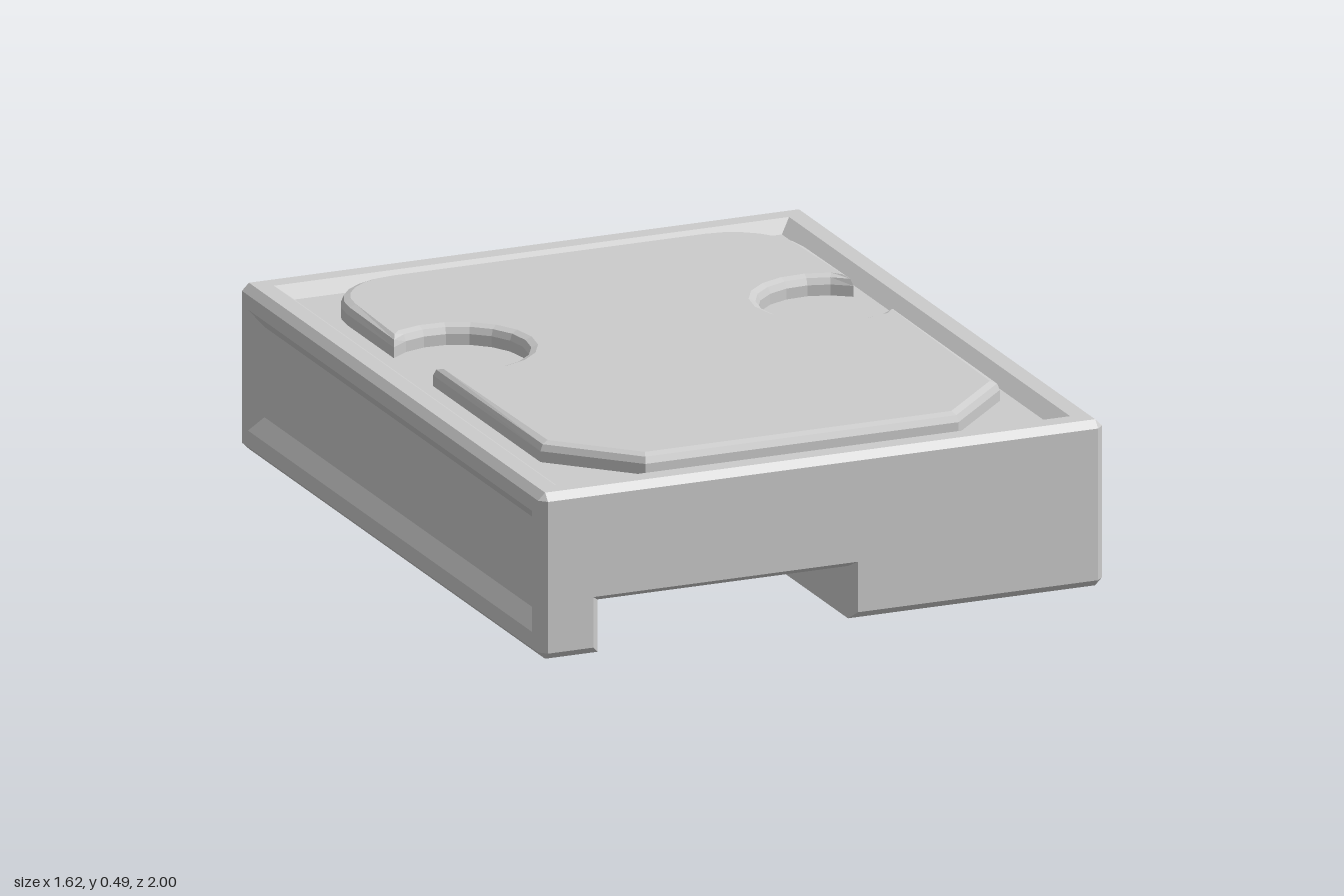
import * as THREE from 'three';

const material = new THREE.MeshStandardMaterial({ color: 0xcccccc, flatShading: true });

// Joins rings of points (counter-clockwise seen from outside, going inward or up).
// closed: join last point to first; cap: fill the last ring; skip: edges left open.
function loft(rings, { closed = true, cap = false, skip = [] } = {}) {
  const pos = [];
  const tri = (...pts) => pts.forEach((p) => pos.push(...p));
  const n = rings[0].length;
  for (let i = 0; i < rings.length - 1; i++) {
    for (let j = 0; j < (closed ? n : n - 1); j++) {
      if (skip.includes(j)) continue;
      const k = (j + 1) % n;
      const a = rings[i][j], b = rings[i][k], c = rings[i + 1][k], d = rings[i + 1][j];
      tri(a, b, c);
      tri(a, c, d);
    }
  }
  const last = rings[rings.length - 1];
  if (cap) for (let j = 1; j < n - 1; j++) tri(last[0], last[j], last[j + 1]);
  const geo = new THREE.BufferGeometry();
  geo.setAttribute('position', new THREE.Float32BufferAttribute(pos, 3));
  geo.computeVertexNormals();
  return geo;
}

// Horizontal rectangle with cut corners; the last edge (7) is the front one.
const ring = (y, hx, hz, c = 0) => [
  [hx - c, y, hz], [hx, y, hz - c], [hx, y, -hz + c], [hx - c, y, -hz],
  [-hx + c, y, -hz], [-hx, y, -hz + c], [-hx, y, hz - c], [-hx + c, y, hz],
];

// Rectangle on the +x side
const sideRing = (x, y0, y1, hz) => [[x, y0, hz], [x, y0, -hz], [x, y1, -hz], [x, y1, hz]];

const shapeOf = (pts) => new THREE.Shape(pts.map(([x, y]) => new THREE.Vector2(x, y)));

function arc(cx, cy, r, from, to, steps) {
  return Array.from({ length: steps + 1 }, (_, i) => {
    const a = THREE.MathUtils.degToRad(from + ((to - from) * i) / steps);
    return [cx + r * Math.cos(a), cy + r * Math.sin(a)];
  });
}

export function createModel() {
  const model = new THREE.Group();
  const add = (name, geo, parent = model) => {
    const mesh = new THREE.Mesh(geo, material);
    mesh.name = name;
    parent.add(mesh);
    return mesh;
  };

  const body = new THREE.Group();
  body.name = 'case';
  model.add(body);

  // Back wall, corner chamfers and lower edge chamfer
  const low = ring(0.02, 0.81, 1, 0.02), high = ring(0.44, 0.81, 1, 0.02);
  add('caseWalls', loft([low, high], { skip: [1, 5, 7] }), body);
  add('lowerChamfer', loft([ring(0, 0.79, 0.98), low], { closed: false }), body);

  // Top with chamfered rim and shallow tray
  add('caseTop', loft([
    high, ring(0.46, 0.79, 0.98), ring(0.46, 0.74, 0.93), ring(0.43, 0.7, 0.885),
  ], { cap: true }), body);

  // Recessed panel on each long side
  for (const turn of [0, Math.PI]) {
    const panel = add(turn ? 'rightSidePanel' : 'leftSidePanel', loft([
      sideRing(0.81, 0.02, 0.44, 0.98), sideRing(0.81, 0.065, 0.4, 0.94),
      sideRing(0.78, 0.11, 0.36, 0.9),
    ], { cap: true }), body);
    panel.rotation.y = turn;
  }

  // Front wall and underside, both cut out for the connector bay
  const front = new THREE.ShapeGeometry(shapeOf([
    [-0.79, 0.02], [-0.66, 0.02], [-0.66, 0.16], [0.1, 0.16],
    [0.1, 0.02], [0.79, 0.02], [0.79, 0.44], [-0.79, 0.44],
  ]));
  add('frontWall', front.translate(0, 0, 1), body);
  const under = new THREE.ShapeGeometry(shapeOf([
    [-0.79, -0.98], [0.79, -0.98], [0.79, 0.98], [0.08, 0.98],
    [0.08, 0.55], [-0.64, 0.55], [-0.64, 0.98], [-0.79, 0.98],
  ]));
  add('underside', under.rotateX(Math.PI / 2), body);

  // Front lower chamfer either side of the bay
  for (const [l0, r0, l1, r1] of [[-0.79, -0.64, -0.79, -0.66], [0.08, 0.79, 0.1, 0.79]]) {
    add('frontChamfer', loft([
      [[l0, 0, 0.98], [r0, 0, 0.98]], [[l1, 0.02, 1], [r1, 0.02, 1]],
    ], { closed: false }), body);
  }

  // Connector bay: bevelled mouth, walls and ceiling, then back wall
  const bayRing = (x0, x1, pts) => [
    ...pts.map(([y, z]) => [x1, y, z]),
    ...[...pts].reverse().map(([y, z]) => [x0, y, z]),
  ];
  const backEdge = [[0, 0.55], [0.045, 0.58], [0.145, 0.58]];
  const bay = bayRing(-0.64, 0.08, backEdge);
  add('connectorBay', loft([
    bayRing(-0.66, 0.1, [[0.02, 1], [0.06, 1], [0.16, 1]]),
    bayRing(-0.64, 0.08, [[0, 0.98], [0.045, 0.98], [0.145, 0.98]]),
    bay,
  ], { closed: false }), body);
  add('connectorBayBack', loft([bay.slice(0, 3), bay.slice(3).reverse()], { closed: false }), body);

  // Raised cover: cut front corners, round back corners, a round bite on each side
  const half = [
    [0.45, -0.86], [0.66, -0.65],
    ...arc(0.53, 0.19, 0.184, -45, -315, 14),
    ...arc(0.45, 0.63, 0.21, 0, 90, 6),
  ];
  const outline = [...half, ...half.map(([x, y]) => [-x, y]).reverse()];
  const cover = new THREE.ExtrudeGeometry(shapeOf(outline), {
    depth: 0.05, bevelThickness: 0.025, bevelSize: 0.025, bevelOffset: -0.025, bevelSegments: 2,
  });
  add('topCover', cover.rotateX(-Math.PI / 2).translate(0, 0.41, 0));

  return model;
}
